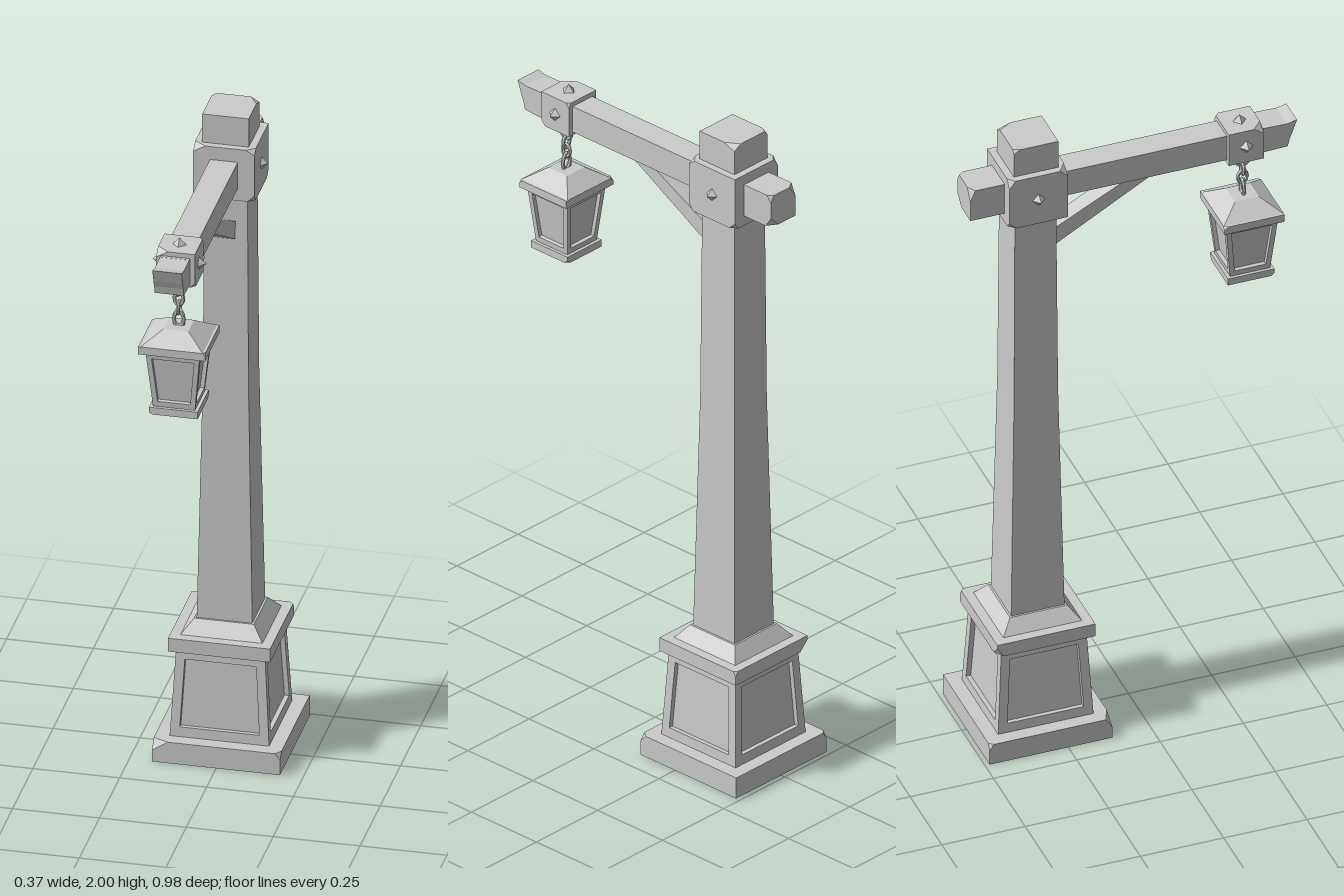
import * as THREE from 'three';
import { ConvexGeometry } from 'three/addons/geometries/ConvexGeometry.js';

const POST_Z = -0.302, LAMP_Z = 0.342;

export function createModel() {
  const model = new THREE.Group();
  const mat = new THREE.MeshStandardMaterial({ color: 0xcccccc, flatShading: true, side: THREE.DoubleSide });

  const add = (parent, name, geometry, x = 0, y = 0, z = 0) => {
    const mesh = new THREE.Mesh(geometry, mat);
    mesh.name = name;
    mesh.position.set(x, y, z);
    parent.add(mesh);
    return mesh;
  };
  const group = (name, z) => {
    const g = new THREE.Group();
    g.name = name;
    g.position.z = z;
    model.add(g);
    return g;
  };

  // Square tapered block from y0 (half width h0) to y1 (half width h1)
  const taper = (parent, name, y0, h0, y1, h1) => {
    const g = new THREE.CylinderGeometry(h1 * Math.SQRT2, h0 * Math.SQRT2, y1 - y0, 4);
    g.rotateY(Math.PI / 4);
    return add(parent, name, g, 0, (y0 + y1) / 2, 0);
  };

  // Box with some corners knocked off; chips: [signX, signY, signZ, cutX, cutY, cutZ]
  const chippedBox = (parent, name, [hx, hy, hz], [x, y, z], chips = []) => {
    const pts = [];
    for (const sx of [-1, 1]) for (const sy of [-1, 1]) for (const sz of [-1, 1]) {
      const p = new THREE.Vector3(sx * hx, sy * hy, sz * hz);
      const c = chips.find(k => k[0] === sx && k[1] === sy && k[2] === sz);
      if (!c) { pts.push(p); continue; }
      pts.push(p.clone().setX(p.x - sx * c[3]), p.clone().setY(p.y - sy * c[4]), p.clone().setZ(p.z - sz * c[5]));
    }
    return add(parent, name, new ConvexGeometry(pts), x, y, z);
  };

  // Four leaning frames around a recessed tapered core
  const panelledBody = (parent, name, y0, h0, y1, h1, side, rail, depth) => {
    taper(parent, name + 'Core', y0, h0 - depth, y1, h1 - depth);
    const lean = Math.atan2(h0 - h1, y1 - y0), len = Math.hypot(h0 - h1, y1 - y0);
    const half = t => h0 + (h1 - h0) * t / len;
    const outline = (a, b, inset) => [
      [-half(a) + inset, a], [half(a) - inset, a], [half(b) - inset, b], [-half(b) + inset, b],
    ].map(p => new THREE.Vector2(...p));
    const shape = new THREE.Shape(outline(0, len, 0));
    shape.holes.push(new THREE.Path(outline(rail, len - rail, side).reverse()));
    const g = new THREE.ExtrudeGeometry(shape, { depth, bevelEnabled: false });
    g.translate(0, 0, -depth).rotateX(-lean).translate(0, y0, h0);
    for (let i = 0; i < 4; i++) add(parent, name + 'Frame', g).rotation.y = i * Math.PI / 2;
  };

  // Four-sided stud pointing along a direction
  const stud = (parent, dir, x, y, z) => {
    const m = add(parent, 'stud', new THREE.ConeGeometry(0.021, 0.022, 4), x, y, z);
    m.quaternion.setFromUnitVectors(new THREE.Vector3(0, 1, 0), new THREE.Vector3(...dir));
  };

  // Side profile in (z, y), extruded across x
  const sideProfile = (name, points, halfWidth) => {
    const shape = new THREE.Shape(points.map(([z, y]) => new THREE.Vector2(-z, y)));
    const g = new THREE.ExtrudeGeometry(shape, { depth: halfWidth * 2, bevelEnabled: false });
    g.translate(0, 0, -halfWidth).rotateY(Math.PI / 2);
    return add(model, name, g);
  };

  // Pedestal
  const pedestal = group('pedestal', POST_Z);
  chippedBox(pedestal, 'plinth', [0.184, 0.033, 0.184], [0, 0.033, 0], [
    [-1, 1, 1, 0.045, 0.03, 0.02], [1, 1, 1, 0.015, 0.02, 0.02], [-1, 1, -1, 0.012, 0.02, 0.012],
  ]);
  panelledBody(pedestal, 'pedestalPanel', 0.066, 0.143, 0.335, 0.128, 0.027, 0.03, 0.014);
  chippedBox(pedestal, 'pedestalCap', [0.147, 0.021, 0.147], [0, 0.354, 0], [
    [-1, -1, -1, 0.03, 0.03, 0.02], [1, 1, -1, 0.01, 0.015, 0.01],
  ]);
  taper(pedestal, 'pedestalSlope', 0.375, 0.118, 0.415, 0.086);

  // Post
  const post = group('post', POST_Z);
  taper(post, 'postLower', 0.41, 0.08, 1.15, 0.066);
  taper(post, 'postUpper', 1.15, 0.066, 1.77, 0.062);
  chippedBox(post, 'postHead', [0.088, 0.081, 0.088], [0, 1.83, 0], [
    [-1, 1, -1, 0.02, 0.025, 0.018], [-1, 1, 1, 0.035, 0.02, 0.025], [1, 1, 1, 0.025, 0.015, 0.02],
    [1, -1, 1, 0.02, 0.02, 0.015], [-1, -1, -1, 0.02, 0.02, 0.02], [1, -1, -1, 0.015, 0.02, 0.02],
  ]);
  chippedBox(post, 'postTop', [0.067, 0.05, 0.067], [0, 1.95, 0], [
    [1, 1, -1, 0.025, 0.015, 0.04], [-1, 1, -1, 0.01, 0.012, 0.02],
  ]);
  for (const s of [-1, 1]) stud(post, [s, 0, 0], s * 0.097, 1.83, 0);

  // Beam with a rough back stub and a splintered front tip
  chippedBox(model, 'beam', [0.04, 0.041, 0.31], [0, 1.829, 0.085]);
  chippedBox(model, 'beamBackEnd', [0.05, 0.05, 0.06], [0, 1.83, -0.433], [
    [-1, 1, -1, 0.025, 0.035, 0.015], [1, 1, -1, 0.012, 0.02, 0.015], [1, -1, -1, 0.03, 0.03, 0.02],
  ]);
  sideProfile('beamTip', [
    [0.38, 1.788], [0.462, 1.791], [0.468, 1.815], [0.476, 1.835], [0.49, 1.875], [0.46, 1.868], [0.38, 1.87],
  ], 0.042);

  // Diagonal brace under the beam
  sideProfile('brace', [[0.075, 1.792], [-0.005, 1.792], [-0.245, 1.612], [-0.245, 1.67]].map(
    ([z, y], i) => [[0.075, 1.792], [-0.245, 1.67 - 0.06], [-0.245, 1.668], [-0.005, 1.792]][i]), 0.027);

  // Collar that carries the lantern
  const collar = group('collar', 0.333);
  chippedBox(collar, 'collarBlock', [0.056, 0.053, 0.053], [0, 1.831, 0], [
    [-1, 1, 1, 0.035, 0.02, 0.03], [1, -1, 1, 0.015, 0.015, 0.015], [1, 1, -1, 0.01, 0.015, 0.01],
  ]);
  for (const s of [-1, 1]) {
    stud(collar, [s, 0, 0], s * 0.066, 1.831, 0);
    stud(collar, [0, s, 0], 0, 1.831 + s * 0.063, 0);
  }

  // Chain: ring and alternating links
  const chain = group('chain', LAMP_Z);
  [[1.751, 0.021, 1], [1.718, 0.013, 1.4], [1.69, 0.014, 1.3], [1.653, 0.014, 1.8]].forEach(([y, r, stretch], i) => {
    const link = add(chain, i ? 'chainLink' : 'chainRing', new THREE.TorusGeometry(r, 0.0055, 6, 12), 0, y, 0);
    link.scale.y = stretch;
    link.rotation.y = i % 2 ? 0 : Math.PI / 2;
  });

  // Lantern
  const lantern = group('lantern', LAMP_Z);
  taper(lantern, 'lanternRoof', 1.598, 0.09, 1.635, 0.036);
  chippedBox(lantern, 'lanternRim', [0.096, 0.012, 0.09], [0, 1.587, 0], [
    [-1, 1, -1, 0.012, 0.01, 0.012], [1, 1, 1, 0.008, 0.008, 0.01],
  ]);
  panelledBody(lantern, 'lanternPanel', 1.398, 0.06, 1.577, 0.078, 0.015, 0.02, 0.012);
  chippedBox(lantern, 'lanternBase', [0.07, 0.011, 0.07], [0, 1.39, 0], [
    [1, -1, -1, 0.012, 0.01, 0.012], [-1, -1, 1, 0.01, 0.008, 0.01],
  ]);

  return model;
}
